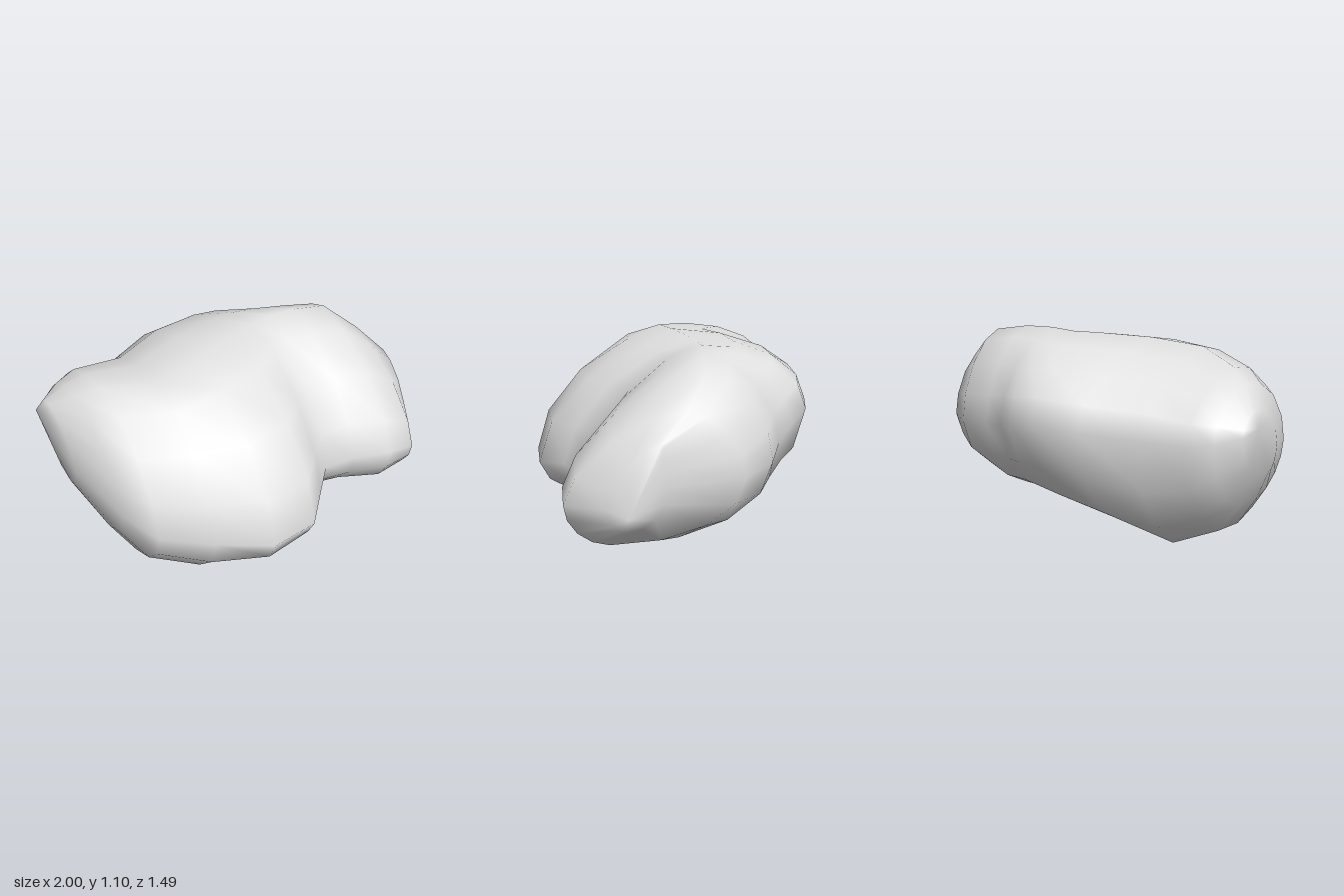
import * as THREE from 'three';

// Cross-sections along x: x, top(y,z), bottom(y,z), front(z,y), back(z,y)
const SECTIONS = [
  [-0.95, 0.87, -0.32, 0.50, -0.12, -0.03, 0.62, -0.45, 0.77],
  [-0.85, 0.96, -0.20, 0.30, -0.03, 0.31, 0.53, -0.55, 0.75],
  [-0.74, 1.01, -0.12, 0.13, 0.00, 0.48, 0.46, -0.62, 0.74],
  [-0.49, 1.05, 0.04, 0.00, -0.03, 0.61, 0.41, -0.61, 0.72],
  [-0.22, 1.08, -0.03, 0.07, 0.00, 0.74, 0.38, -0.74, 0.75],
  [0.04, 1.09, -0.12, 0.13, 0.00, 0.70, 0.38, -0.75, 0.75],
  [0.18, 1.09, -0.16, 0.16, 0.03, 0.55, 0.42, -0.74, 0.73],
  [0.31, 1.10, -0.18, 0.165, 0.00, 0.41, 0.44, -0.65, 0.68],
  [0.47, 1.09, -0.18, 0.15, 0.00, 0.45, 0.47, -0.57, 0.63],
  [0.67, 1.05, -0.19, 0.17, 0.22, 0.51, 0.47, -0.52, 0.60],
  [0.84, 0.91, -0.10, 0.235, 0.27, 0.49, 0.44, -0.38, 0.58],
  [0.96, 0.78, 0.02, 0.35, 0.18, 0.27, 0.46, 0.00, 0.57],
];
const TIPS = [[-1, 0.81, -0.39], [1, 0.43, 0.17]];
const SIDES = 16;

// One point on a ring made from four quarter ellipses; the upper slopes are
// flatter at the front and towards the model's left
function ringPoint([x, topY, topZ, lowY, lowZ, frontZ, frontY, backZ, backY], a) {
  const c = Math.cos(a), s = Math.sin(a);
  const flat = THREE.MathUtils.smoothstep(x, 0, 0.4) * 0.15;
  const power = s < 0 ? 1 : (c > 0 ? 1.17 : 1) + flat;
  const u = Math.abs(c) ** power, v = Math.abs(s) ** power;
  const [endY, midZ] = s > 0 ? [topY, topZ] : [lowY, lowZ];
  const [endZ, midY] = c > 0 ? [frontZ, frontY] : [backZ, backY];
  return [x, midY + (endY - midY) * v, midZ + (endZ - midZ) * u];
}

export function createModel() {
  const points = [], faces = [];
  for (const section of SECTIONS) {
    for (let j = 0; j < SIDES; j++) points.push(...ringPoint(section, (j / SIDES) * Math.PI * 2));
  }
  const last = (SECTIONS.length - 1) * SIDES;
  const tip = last + SIDES;
  points.push(...TIPS[0], ...TIPS[1]);

  for (let j = 0; j < SIDES; j++) {
    const k = (j + 1) % SIDES;
    // skin between neighbouring rings
    for (let r = 0; r < last; r += SIDES) {
      const n = r + SIDES;
      faces.push(r + j, n + j, r + k, n + j, n + k, r + k);
    }
    // closed ends
    faces.push(tip, j, k, tip + 1, last + k, last + j);
  }

  const geometry = new THREE.BufferGeometry();
  geometry.setAttribute('position', new THREE.Float32BufferAttribute(points, 3));
  geometry.setIndex(faces);
  geometry.computeVertexNormals();

  const stone = new THREE.MeshStandardMaterial({ color: 0xe4e4e4 });
  stone.name = 'stone grey';
  const boulder = new THREE.Mesh(geometry, stone);
  boulder.name = 'boulder';

  const model = new THREE.Group();
  model.name = 'rock';
  model.add(boulder);
  return model;
}
